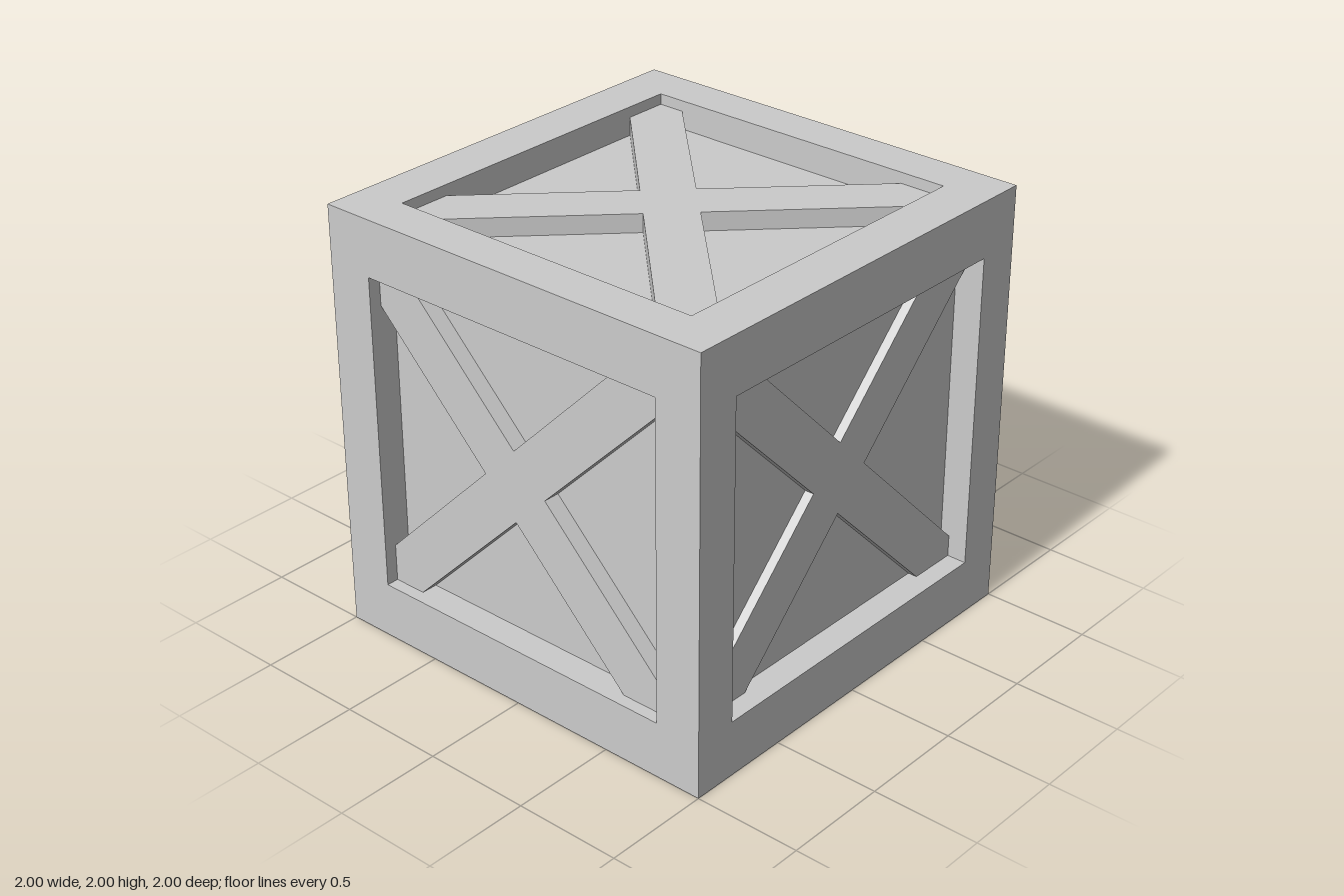
import * as THREE from 'three';

const material = new THREE.MeshStandardMaterial({ color: 0xcccccc, flatShading: true });

function addBox(parent, name, size, position) {
  const mesh = new THREE.Mesh(new THREE.BoxGeometry(...size), material);
  mesh.name = name;
  mesh.position.set(...position);
  parent.add(mesh);
}

// One-piece diagonal cross, from the recessed panel up to its own outer face
function braceGeometry(h, v, inner, outer) {
  const w = 0.118, l = 1.15;
  const outline = [[w, w], [w, l], [-w, l], [-w, w], [-l, w], [-l, -w],
    [-w, -w], [-w, -l], [w, -l], [w, -w], [l, -w], [l, w]];
  const shape = new THREE.Shape(outline.map(([x, y]) => new THREE.Vector2(x, y)));
  const geometry = new THREE.ExtrudeGeometry(shape, { depth: outer - inner, bevelEnabled: false });
  return geometry.rotateZ(Math.PI / 4).translate(h, v, inner);
}

export function createModel() {
  const crate = new THREE.Group();
  crate.name = 'crate';

  // Half sizes of the openings and of the recessed core
  const ox = 0.778, oy = 0.738, oz = 0.795, core = 0.865;
  const bx = 1 - ox, by = 1 - oy, bz = 1 - oz;

  addBox(crate, 'panels', [core * 2, core * 2, core * 2], [0, 1, 0]);

  // Frame: four posts, with rails between them at the top and bottom
  const frame = new THREE.Group();
  frame.name = 'frame';
  crate.add(frame);
  for (const a of [-1, 1]) {
    for (const b of [-1, 1]) {
      addBox(frame, 'cornerPost', [bx, 2, bz], [a * (1 - bx / 2), 1, b * (1 - bz / 2)]);
      addBox(frame, 'crossRail', [ox * 2, by, bz], [0, 1 + a * (1 - by / 2), b * (1 - bz / 2)]);
      addBox(frame, 'sideRail', [bx, by, oz * 2], [a * (1 - bx / 2), 1 + b * (1 - by / 2), 0]);
    }
  }

  // Cross braces: name, rotation about x and y, centre on the face, outer plane
  const q = Math.PI / 2;
  const braces = [
    ['frontBrace', 0, 0, -0.035, 0.013, 0.942],
    ['backBrace', 0, 2 * q, -0.02, 0.013, 0.942],
    ['rightBrace', 0, q, -0.022, 0.013, 0.908],
    ['leftBrace', 0, -q, -0.022, 0.013, 0.94],
    ['topBrace', -q, 0, -0.045, 0.022, 0.95],
    ['bottomBrace', q, 0, -0.045, 0.022, 0.95],
  ];
  for (const [name, rx, ry, h, v, outer] of braces) {
    const mesh = new THREE.Mesh(braceGeometry(h, v, core - 0.01, outer), material);
    mesh.name = name;
    mesh.rotation.set(rx, ry, 0);
    mesh.position.y = 1;
    crate.add(mesh);
  }
  return crate;
}
